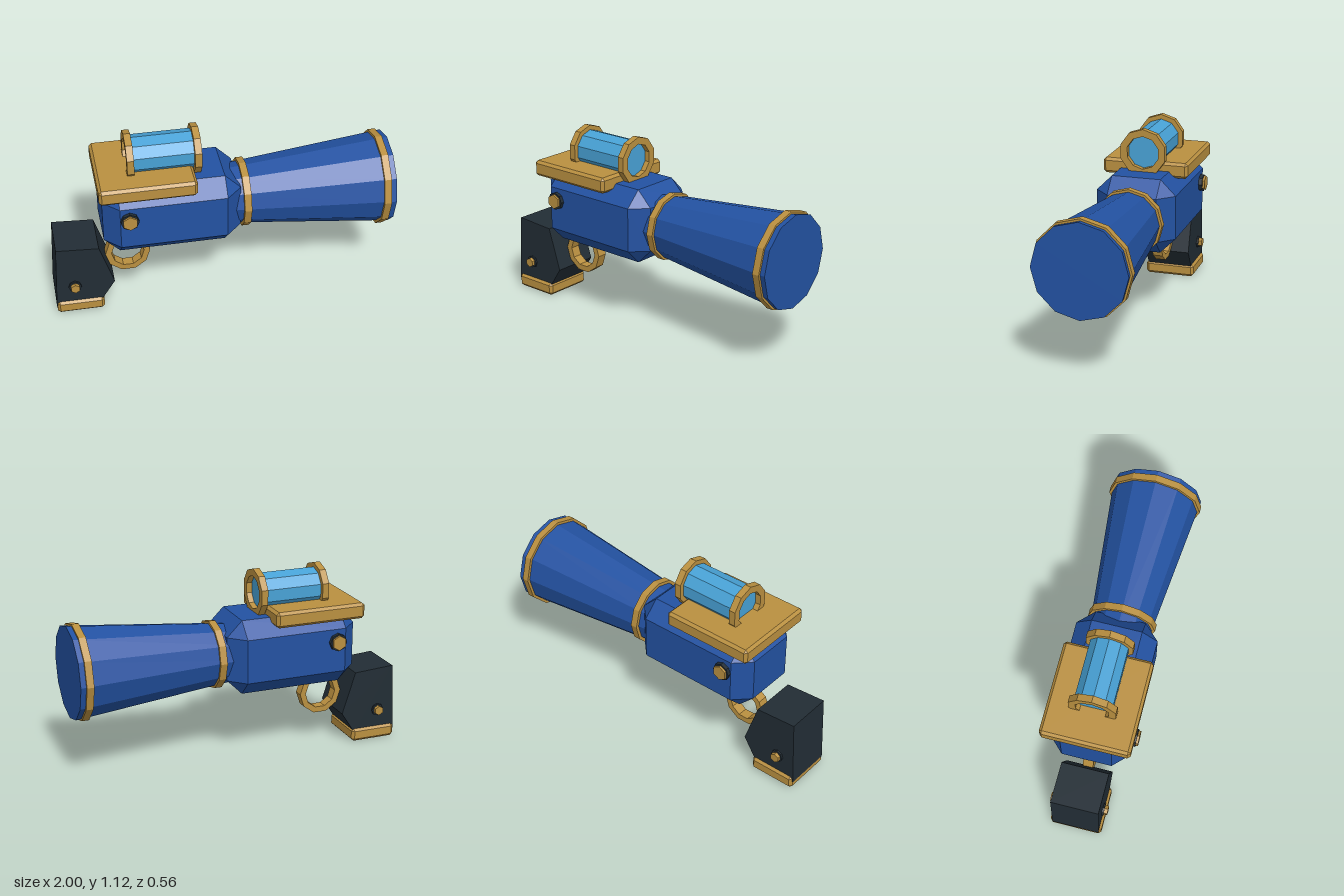
import * as THREE from 'three';
import { ConvexGeometry } from 'three/addons/geometries/ConvexGeometry.js';

const mat = (name, color) => {
  const m = new THREE.MeshStandardMaterial({ color });
  m.name = name;
  return m;
};

// Faceted copy of a geometry, one normal per face
function faceted(geo) {
  const g = geo.index ? geo.toNonIndexed() : geo;
  g.computeVertexNormals();
  return g;
}

// Box between two corners with every edge chamfered by c
function chamferBox(min, max, c) {
  const mid = min.map((v, i) => (v + max[i]) / 2);
  const half = min.map((v, i) => (max[i] - v) / 2);
  const points = [];
  for (const sx of [-1, 1]) for (const sy of [-1, 1]) for (const sz of [-1, 1]) {
    const s = [sx, sy, sz];
    for (let full = 0; full < 3; full++) {
      points.push(new THREE.Vector3(...s.map((k, i) => mid[i] + k * (half[i] - (i === full ? 0 : c)))));
    }
  }
  return faceted(new ConvexGeometry(points));
}

// Faceted tapered cylinder along x with a corner pointing up
function barrelX(x0, x1, r0, r1, sides, y) {
  const g = new THREE.CylinderGeometry(r1, r0, x1 - x0, sides, 1, false, -Math.PI / 2);
  return faceted(g.rotateZ(-Math.PI / 2).translate((x0 + x1) / 2, y, 0));
}

function polygon(radius, sides, start) {
  return Array.from({ length: sides }, (_, i) => {
    const a = start + (i / sides) * Math.PI * 2;
    return new THREE.Vector2(radius * Math.cos(a), radius * Math.sin(a));
  });
}

// Flat polygonal ring facing z, centred on the origin
function ring(outer, inner, depth, sides, start) {
  const shape = new THREE.Shape(polygon(outer, sides, start));
  shape.holes.push(new THREE.Path(polygon(inner, sides, start)));
  const g = new THREE.ExtrudeGeometry(shape, { depth, bevelEnabled: false });
  return faceted(g.translate(0, 0, -depth / 2));
}

export function createModel() {
  const blue = mat('blue shell', 0x2352a2);
  const gold = mat('brass', 0xba9040);
  const dark = mat('dark grip', 0x222d35);
  const glass = mat('light blue glass', 0x48a2d6);

  const model = new THREE.Group();
  model.name = 'toyBlaster';
  const add = (name, geo, material, parent = model) => {
    const mesh = new THREE.Mesh(geo, material);
    mesh.name = name;
    parent.add(mesh);
    return mesh;
  };

  // Body and flared barrel
  add('body', chamferBox([-0.7, 0.42, -0.24], [0.1, 0.866, 0.24], 0.092), blue);
  add('barrel', barrelX(0.03, 1, 0.174, 0.273, 12, 0.635), blue);
  add('rearBarrelBand', barrelX(0.116, 0.158, 0.202, 0.202, 12, 0.635), gold);
  add('muzzleBand', barrelX(0.926, 0.968, 0.282, 0.282, 12, 0.635), gold);

  // Scope on its mounting plate
  add('scopePlate', chamferBox([-0.722, 0.826, -0.26], [-0.165, 0.92, 0.26], 0.016), gold);
  add('scopeTube', barrelX(-0.51, -0.152, 0.114, 0.114, 10, 0.98), glass);
  for (const [name, x] of [['rearScopeRing', -0.524], ['frontScopeRing', -0.139]]) {
    const g = ring(0.142, 0.099, 0.04, 10, Math.PI / 2).rotateY(Math.PI / 2);
    add(name, g.translate(x, 0.98, 0), gold);
  }

  // Trigger ring
  add('triggerRing', ring(0.133, 0.097, 0.062, 10, 0).translate(-0.553, 0.308, 0), gold);

  // Grip and its base cap
  const gripShape = new THREE.Shape([
    [-0.98, 0.462], [-1, 0.05], [-0.735, 0.06], [-0.65, 0.192], [-0.732, 0.446],
  ].map(([x, y]) => new THREE.Vector2(x, y)));
  const gripGeo = new THREE.ExtrudeGeometry(gripShape, { depth: 0.284, bevelEnabled: false });
  add('grip', faceted(gripGeo.translate(0, 0, -0.142)), dark);
  add('gripCap', chamferBox([-0.997, 0.003, -0.156], [-0.717, 0.084, 0.156], 0.016), gold);

  // Bolts with washers, mirrored on both sides
  const bolts = [
    { name: 'body', x: -0.555, y: 0.698, z: 0.23, washer: 0.053, head: 0.045, zWasher: 0.262, zHead: 0.275 },
    { name: 'grip', x: -0.885, y: 0.19, z: 0.13, washer: 0.038, head: 0.029, zWasher: 0.153, zHead: 0.174 },
  ];
  for (const b of bolts) for (const side of [1, -1]) {
    const bolt = new THREE.Group();
    bolt.name = b.name + (side > 0 ? 'FrontBolt' : 'BackBolt');
    const disc = (r, sides, z1) => faceted(
      new THREE.CylinderGeometry(r, r, z1 - b.z, sides)
        .rotateX(Math.PI / 2).translate(b.x, b.y, side * (b.z + z1) / 2));
    add('washer', disc(b.washer, 8, b.zWasher), dark, bolt);
    add('boltHead', disc(b.head, 6, b.zHead), gold, bolt);
    model.add(bolt);
  }

  return model;
}
